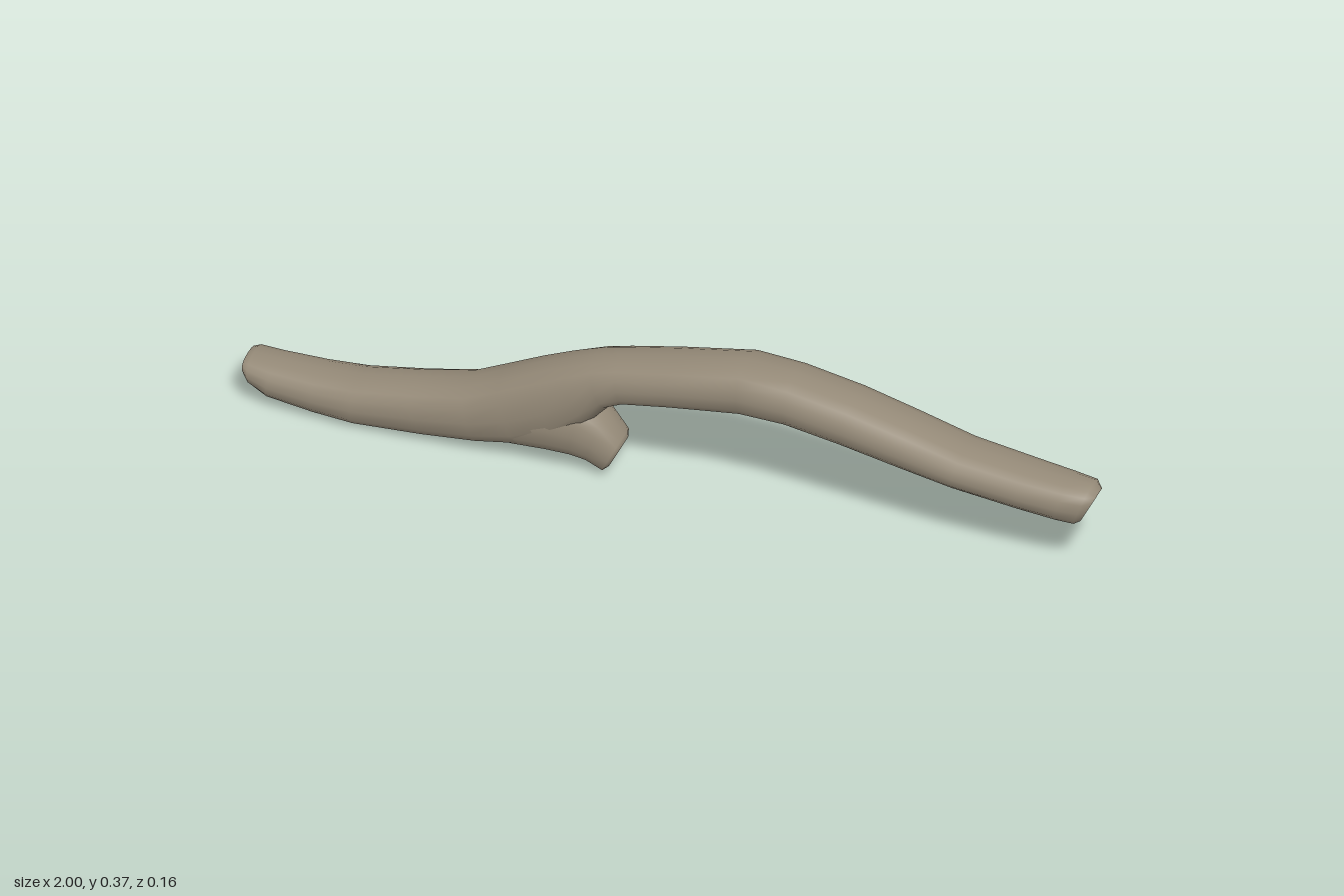
import * as THREE from 'three';

const SIDES = 16;

// Skin a limb through cross-sections: [topX, topY, bottomX, bottomY, halfDepth]
function limb(name, sections, material) {
  const pos = [], idx = [];
  const soft = (v) => Math.sign(v) * Math.abs(v) ** 0.82; // slightly squared ellipse
  const addRing = ([tx, ty, bx, by, d]) => {
    const start = pos.length / 3;
    for (let j = 0; j < SIDES; j++) {
      const a = (j / SIDES) * Math.PI * 2;
      const u = soft(Math.cos(a)) / 2;
      pos.push((tx + bx) / 2 + (tx - bx) * u, (ty + by) / 2 + (ty - by) * u, d * soft(Math.sin(a)));
    }
    return start;
  };
  const starts = sections.map(addRing);
  for (let i = 0; i < starts.length - 1; i++) {
    for (let j = 0; j < SIDES; j++) {
      const k = (j + 1) % SIDES;
      const a = starts[i] + j, b = starts[i] + k, c = starts[i + 1] + j, e = starts[i + 1] + k;
      idx.push(a, b, c, b, e, c);
    }
  }
  // Broken ends: separate vertices keep the rim crisp
  const cap = (section, last) => {
    const s = addRing(section);
    for (let j = 1; j < SIDES - 1; j++) {
      if (last) idx.push(s, s + j, s + j + 1);
      else idx.push(s, s + j + 1, s + j);
    }
  };
  cap(sections[0], false);
  cap(sections[sections.length - 1], true);
  const geo = new THREE.BufferGeometry();
  geo.setAttribute('position', new THREE.Float32BufferAttribute(pos, 3));
  geo.setIndex(idx);
  geo.computeVertexNormals();
  const mesh = new THREE.Mesh(geo, material);
  mesh.name = name;
  return mesh;
}

export function createModel() {
  const bark = new THREE.MeshStandardMaterial({ color: 0x958a78 });
  bark.name = 'weathered bark';
  const group = new THREE.Group();
  group.name = 'branch';

  // Long curved branch, left tip to right tip
  group.add(limb('mainBranch', [
    [-1.0, 0.108, -0.995, 0.072, 0.045],
    [-0.985, 0.114, -0.98, 0.048, 0.056],
    [-0.93, 0.11, -0.94, 0.025, 0.063],
    [-0.83, 0.109, -0.83, 0.011, 0.069],
    [-0.735, 0.115, -0.735, 0.004, 0.073],
    [-0.6, 0.14, -0.57, 0.013, 0.076],
    [-0.48, 0.167, -0.44, 0.026, 0.08],
    [-0.4, 0.206, -0.34, 0.042, 0.082],
    [-0.32, 0.245, -0.24, 0.085, 0.082],
    [-0.25, 0.275, -0.18, 0.142, 0.079],
    [-0.18, 0.301, -0.14, 0.187, 0.074],
    [-0.12, 0.316, -0.1, 0.207, 0.073],
    [0.0, 0.341, 0.01, 0.227, 0.077],
    [0.175, 0.374, 0.175, 0.25, 0.08],
    [0.29, 0.365, 0.28, 0.248, 0.08],
    [0.43, 0.338, 0.41, 0.226, 0.08],
    [0.56, 0.303, 0.54, 0.199, 0.078],
    [0.69, 0.265, 0.67, 0.174, 0.076],
    [0.84, 0.244, 0.82, 0.153, 0.071],
    [0.93, 0.235, 0.91, 0.14, 0.064],
    [0.985, 0.231, 0.95, 0.134, 0.055],
    [1.0, 0.214, 0.962, 0.14, 0.04],
  ], bark));

  // Snapped-off side shoot flaring out under the fork
  group.add(limb('brokenStub', [
    [-0.46, 0.15, -0.44, 0.04, 0.06],
    [-0.36, 0.185, -0.36, 0.037, 0.076],
    [-0.27, 0.2, -0.28, 0.041, 0.079],
    [-0.2, 0.188, -0.23, 0.037, 0.071],
    [-0.155, 0.152, -0.195, 0.03, 0.062],
    [-0.115, 0.1, -0.158, 0.012, 0.055],
    [-0.114, 0.082, -0.145, 0.022, 0.04],
  ], bark));

  return group;
}
